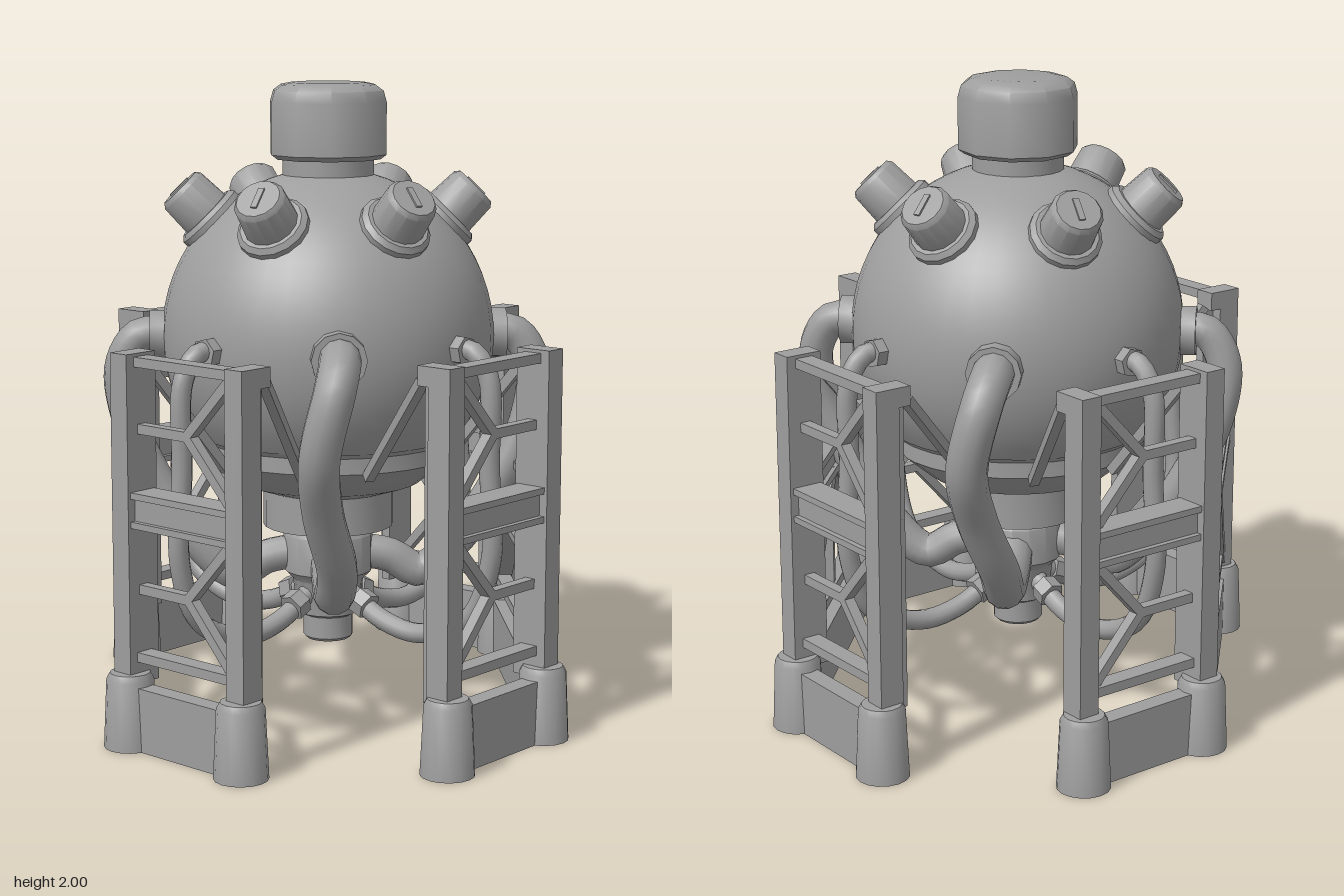
import * as THREE from 'three';
import { toCreasedNormals } from 'three/addons/utils/BufferGeometryUtils.js';

const V = (x, y, z) => new THREE.Vector3(x, y, z);

export function createModel() {
  const model = new THREE.Group();
  const steel = new THREE.MeshStandardMaterial({ color: 0x9e9e9e });
  steel.name = 'grey steel';

  const add = (name, geometry, parent = model) => {
    const mesh = new THREE.Mesh(geometry, steel);
    mesh.name = name;
    parent.add(mesh);
    return mesh;
  };
  // Profile given as [radius, height], bottom to top
  const turned = (profile, sides) => toCreasedNormals(
    new THREE.LatheGeometry(profile.map(p => new THREE.Vector2(p[0], p[1])), sides), 0.7);
  // Rectangular bar between two points: w across, h upward
  const beam = (name, a, b, w, h = w) => {
    const mesh = add(name, new THREE.BoxGeometry(w, h, a.distanceTo(b)));
    mesh.position.copy(a).lerp(b, 0.5);
    mesh.lookAt(b);
    return mesh;
  };
  const pipe = (name, points, r) => add(name,
    new THREE.TubeGeometry(new THREE.CatmullRomCurve3(points), 48, r, 12, false));
  // Cylinder centred on a point, with its axis along dir
  const collar = (name, at, dir, r, len, sides) => {
    const mesh = add(name, toCreasedNormals(new THREE.CylinderGeometry(r, r, len, sides), 0.7));
    mesh.position.copy(at);
    mesh.quaternion.setFromUnitVectors(V(0, 1, 0), dir.clone().normalize());
  };

  // Spherical vessel, cut off above the lower rim
  const shell = [[0.41, 0.885]];
  for (let i = 0; i <= 24; i++) {
    const a = -0.637 + (Math.PI / 2 + 0.637) * i / 24;
    shell.push([Math.max(0, 0.53 * Math.cos(a)), 1.2 + 0.53 * Math.sin(a)]);
  }
  add('vessel', turned(shell, 40));
  add('lowerRim', turned([[0.21, 0.7], [0.3, 0.73], [0.39, 0.805], [0.41, 0.82], [0.41, 0.87], [0.425, 0.887]], 32));
  add('underside', turned([[0, 0.58], [0.21, 0.58], [0.21, 0.71]], 24));
  add('hub', turned([[0, 0.2], [0.07, 0.2], [0.08, 0.21], [0.08, 0.28], [0.1, 0.29], [0.115, 0.4],
    [0.145, 0.43], [0.145, 0.55], [0.115, 0.585]], 16));

  // Neck and faceted top cap
  add('neck', turned([[0.145, 1.66], [0.145, 1.78]], 20));
  add('topCap', turned([[0, 1.76], [0.17, 1.76], [0.19, 1.775], [0.19, 1.94], [0.18, 1.975],
    [0.155, 1.993], [0.12, 2], [0, 2]], 10));

  // Six slotted plugs around the upper half
  for (let i = 0; i < 6; i++) {
    const plug = new THREE.Group();
    plug.name = 'plug';
    add('plugFlange', turned([[0.115, 0.48], [0.115, 0.535], [0.1, 0.55], [0.085, 0.55]], 16), plug);
    add('plugCap', turned([[0.088, 0.53], [0.082, 0.65], [0.07, 0.665], [0, 0.665]], 14), plug);
    const slot = add('plugSlot', new THREE.BoxGeometry(0.075, 0.008, 0.02), plug);
    slot.position.y = 0.667;
    plug.position.y = 1.2;
    plug.rotation.set(0, i * Math.PI / 3, -Math.PI / 4);
    model.add(plug);
  }

  // Four large pipes: out from the vessel, down and into the hub
  for (const s of [-1, 1]) {
    pipe('endPipe', [V(0, 1.2, 0.5 * s), V(0, 1.2, 0.6 * s), V(-0.02 * s, 1.13, 0.685 * s), V(-0.065 * s, 0.93, 0.68 * s),
      V(-0.05 * s, 0.74, 0.58 * s), V(0, 0.54, 0.46 * s), V(0, 0.42, 0.32 * s), V(0, 0.43, 0.2 * s), V(0, 0.48, 0.1 * s)], 0.064);
    collar('endPipeFlange', V(0, 1.2, 0.54 * s), V(0, 0, s), 0.085, 0.07, 12);
    pipe('sidePipe', [V(0.5 * s, 1.2, 0), V(0.6 * s, 1.2, 0), V(0.66 * s, 1.1, 0.01 * s), V(0.64 * s, 0.92, 0.03 * s),
      V(0.55 * s, 0.72, 0.025 * s), V(0.42 * s, 0.52, 0), V(0.3 * s, 0.42, 0), V(0.2 * s, 0.47, 0), V(0.1 * s, 0.49, 0)], 0.056);
    collar('sidePipeFlange', V(0.54 * s, 1.2, 0), V(s, 0, 0), 0.08, 0.06, 12);
  }

  for (const sx of [-1, 1]) for (const sz of [-1, 1]) {
    const P = (x, y, z) => V(x * sx, y, z * sz);
    const turn = Math.atan2(-sz, sx);

    // Thin corner pipe with nuts at both ends
    pipe('cornerPipe', [P(0.35, 1.2, 0.34), P(0.42, 1.2, 0.4), P(0.465, 1.12, 0.43), P(0.47, 0.85, 0.43),
      P(0.48, 0.55, 0.42), P(0.42, 0.35, 0.36), P(0.28, 0.27, 0.24), P(0.17, 0.29, 0.15), P(0.07, 0.36, 0.06)], 0.032);
    collar('upperNut', P(0.385, 1.2, 0.375), P(1, 0, 1), 0.046, 0.05, 6);
    collar('lowerNut', P(0.11, 0.335, 0.1), P(1, -0.6, 1), 0.046, 0.05, 6);

    // Two posts per corner: end A near the front or back, end B on the side
    const posts = [[0.28, 0.8, 0.305, 0.825, -1], [0.615, 0.47, 0.635, 0.495, 1]];
    for (const [x, z, footX, footZ, end] of posts) {
      // Offset r radially outward and t toward the free end of the panel
      const block = (r, t, w, d, y0, y1) => {
        const mesh = add('post', new THREE.BoxGeometry(w, y1 - y0, d));
        mesh.position.copy(P(x + (r + end * t) * Math.SQRT1_2, (y0 + y1) / 2, z + (r - end * t) * Math.SQRT1_2));
        mesh.rotation.y = turn;
      };
      block(0.02, 0, 0.08, 0.07, 0.2, 1.22);
      block(-0.04, -0.018, 0.04, 0.034, 0.2, 1.16);
      block(-0.04, 0, 0.04, 0.07, 1.16, 1.22);
      const foot = add('foot', turned([[0, 0], [0.083, 0], [0.073, 0.215], [0.062, 0.235], [0, 0.235]], 16));
      foot.position.copy(P(footX, 0, footZ));
    }

    // Corner panel: sill, rails and branching braces
    const A = y => P(0.28, y, 0.8), B = y => P(0.615, y, 0.47);
    const on = (t, y) => A(y).lerp(B(y), t);
    beam('cornerSill', P(0.305, 0.1, 0.825), P(0.635, 0.1, 0.495), 0.06, 0.2);
    beam('topRail', A(1.195), B(1.195), 0.06, 0.03);
    beam('middleRail', A(0.745), B(0.745), 0.065, 0.08);
    for (const y of [0.79, 0.7]) beam('middleFlange', A(y), B(y), 0.1, 0.02);
    beam('bottomRail', A(0.285), B(0.285), 0.06, 0.03);
    for (const [low, high] of [[0.8, 1.18], [0.3, 0.69]]) {
      const mid = (low + high) / 2;
      beam('braceStub', on(0.48, mid), B(mid), 0.035, 0.03);
      beam('brace', on(0.12, high), on(0.5, mid), 0.035, 0.03);
      beam('brace', on(0.12, low), on(0.5, mid), 0.035, 0.03);
    }

    // Struts from the posts to the vessel rim
    beam('strut', P(0.23, 1.17, 0.76), P(0.1, 0.81, 0.4), 0.03);
    beam('strut', P(0.57, 1.17, 0.42), P(0.33, 0.81, 0.26), 0.03);

    // Half of the side truss
    beam('sideDiagonal', P(0.63, 0.69, 0.02), P(0.63, 0.27, 0.47), 0.06, 0.05);
    beam('sideBrace', P(0.63, 0.68, 0.41), P(0.63, 0.5, 0.23), 0.035, 0.03);
  }

  // Full-length side rails and sills
  for (const s of [-1, 1]) {
    const run = (name, y, half, w, h) => beam(name, V(0.63 * s, y, -half), V(0.63 * s, y, half), w, h);
    run('sideSill', 0.1, 0.495, 0.06, 0.2);
    run('sideRail', 0.74, 0.47, 0.045, 0.09);
    run('sideRailFlange', 0.78, 0.47, 0.075, 0.025);
    run('sideRailFlange', 0.695, 0.47, 0.075, 0.025);
    run('sideBottomRail', 0.28, 0.47, 0.05, 0.03);
    run('sideTie', 0.5, 0.22, 0.03, 0.025);
    const post = add('sidePost', new THREE.BoxGeometry(0.03, 0.41, 0.025));
    post.position.set(0.63 * s, 0.485, 0);
  }

  return model;
}
